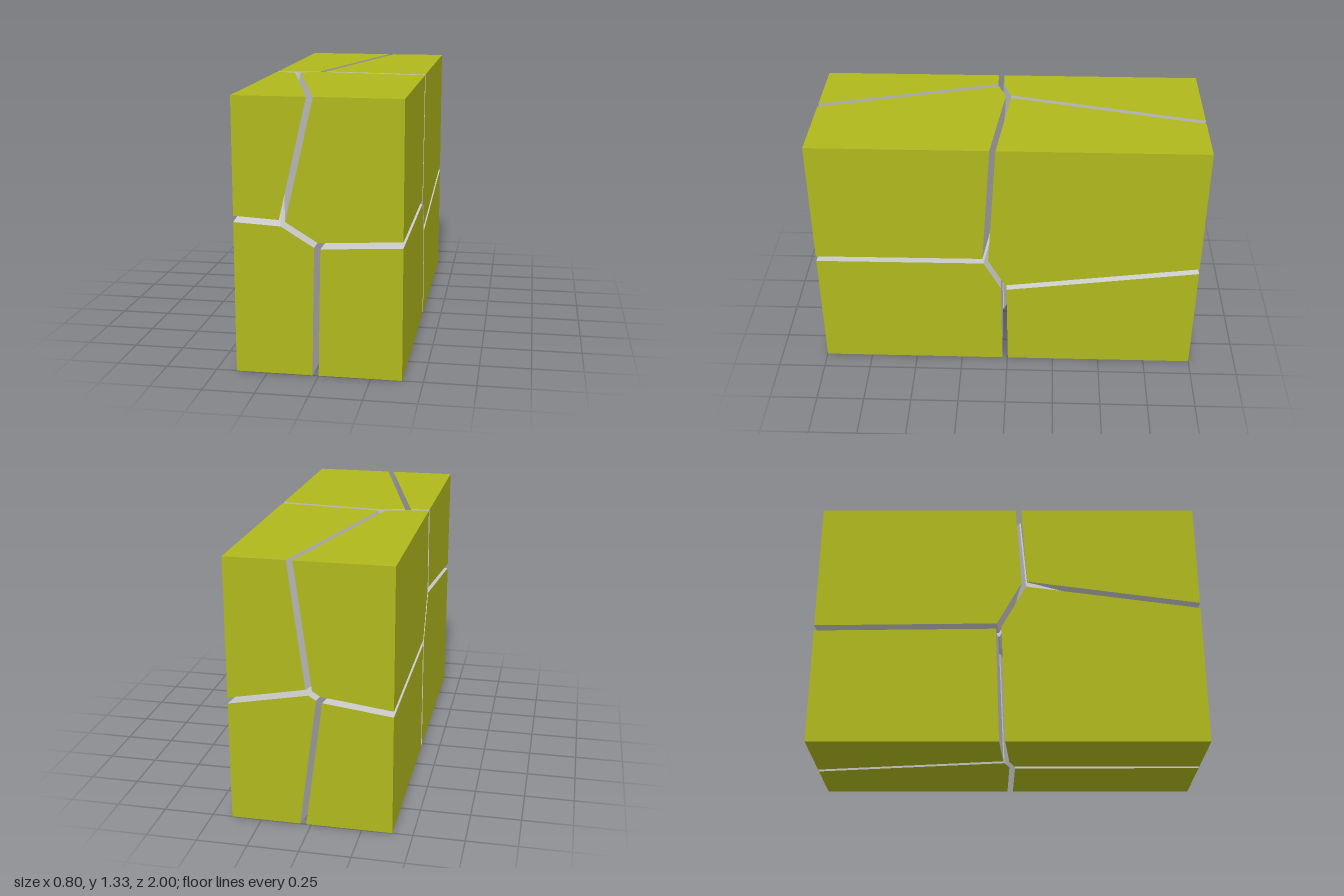
import * as THREE from 'three';

const SIZE = new THREE.Vector3(0.8, 1.333, 2);
const GAP = 0.03;

// One seed per block; cracks lie halfway between neighbouring seeds.
const SEEDS = {
  leftTopFront: [0.305, 1.234, 1.02],
  rightTopFront: [-0.325, 1.38, 1.19],
  leftBottomFront: [0.368, 0.079, 1.015],
  rightBottomFront: [-0.393, 0.094, 1.011],
  leftTopBack: [0.51, 1.1125, -0.855],
  rightTopBack: [-0.4, 1.231, -1.0755],
  leftBottomBack: [0.318, 0.106, -0.985],
  rightBottomBack: [-0.249, 0.031, -1.062],
};

// Six sides of the whole box, normals pointing outwards
function boxPlanes() {
  const { x, y, z } = SIZE;
  return [
    [1, 0, 0, x / 2], [-1, 0, 0, x / 2],
    [0, 1, 0, y], [0, -1, 0, 0],
    [0, 0, 1, z / 2], [0, 0, -1, z / 2],
  ].map(([a, b, c, d]) => ({ normal: new THREE.Vector3(a, b, c), d, outer: true }));
}

// Crack wall between two seeds, pulled back by half the gap
function crackPlane(seed, other) {
  const normal = other.clone().sub(seed).normalize();
  const middle = seed.clone().add(other).multiplyScalar(0.5);
  return { normal, d: normal.dot(middle) - GAP / 2, outer: false };
}

// Large square on a plane, counter-clockwise seen from outside
function planeSquare({ normal, d }) {
  const helper = Math.abs(normal.y) > 0.7 ? new THREE.Vector3(1, 0, 0) : new THREE.Vector3(0, 1, 0);
  const u = helper.cross(normal).normalize();
  const v = normal.clone().cross(u);
  return [[1, 1], [-1, 1], [-1, -1], [1, -1]].map(([a, b]) =>
    normal.clone().multiplyScalar(d).addScaledVector(u, a * 10).addScaledVector(v, b * 10));
}

// Keep the part of a polygon that lies behind a plane
function clip(polygon, { normal, d }) {
  const result = [];
  polygon.forEach((p, i) => {
    const q = polygon[(i + 1) % polygon.length];
    const dp = normal.dot(p) - d;
    const dq = normal.dot(q) - d;
    if (dp <= 0) result.push(p);
    if (dp * dq < 0) result.push(p.clone().lerp(q, dp / (dp - dq)));
  });
  return result;
}

// Flat-faced geometry from convex polygons
function polygonGeometry(polygons) {
  const positions = [];
  for (const poly of polygons) {
    for (let i = 1; i < poly.length - 1; i++) {
      for (const p of [poly[0], poly[i], poly[i + 1]]) positions.push(p.x, p.y, p.z);
    }
  }
  const geometry = new THREE.BufferGeometry();
  geometry.setAttribute('position', new THREE.Float32BufferAttribute(positions, 3));
  geometry.computeVertexNormals();
  return geometry;
}

export function createModel() {
  const model = new THREE.Group();
  model.name = 'crackedBlock';
  const skin = new THREE.MeshStandardMaterial({ color: 0xb0b81c });
  const core = new THREE.MeshStandardMaterial({ color: 0xcccccc });
  const seeds = Object.entries(SEEDS).map(([name, p]) => ({ name, point: new THREE.Vector3(...p) }));

  for (const seed of seeds) {
    const cracks = seeds.filter((s) => s !== seed).map((s) => crackPlane(seed.point, s.point));
    const planes = [...boxPlanes(), ...cracks];
    const faces = planes.map((plane) => ({
      outer: plane.outer,
      polygon: planes.reduce((poly, other) => (other === plane ? poly : clip(poly, other)), planeSquare(plane)),
    })).filter((face) => face.polygon.length > 2);

    // Coloured outside and grey broken walls of one block
    const block = new THREE.Group();
    block.name = seed.name + 'Block';
    for (const [name, outer, material] of [['outerSkin', true, skin], ['crackWalls', false, core]]) {
      const polygons = faces.filter((f) => f.outer === outer).map((f) => f.polygon);
      const mesh = new THREE.Mesh(polygonGeometry(polygons), material);
      mesh.name = name;
      block.add(mesh);
    }
    model.add(block);
  }
  return model;
}
